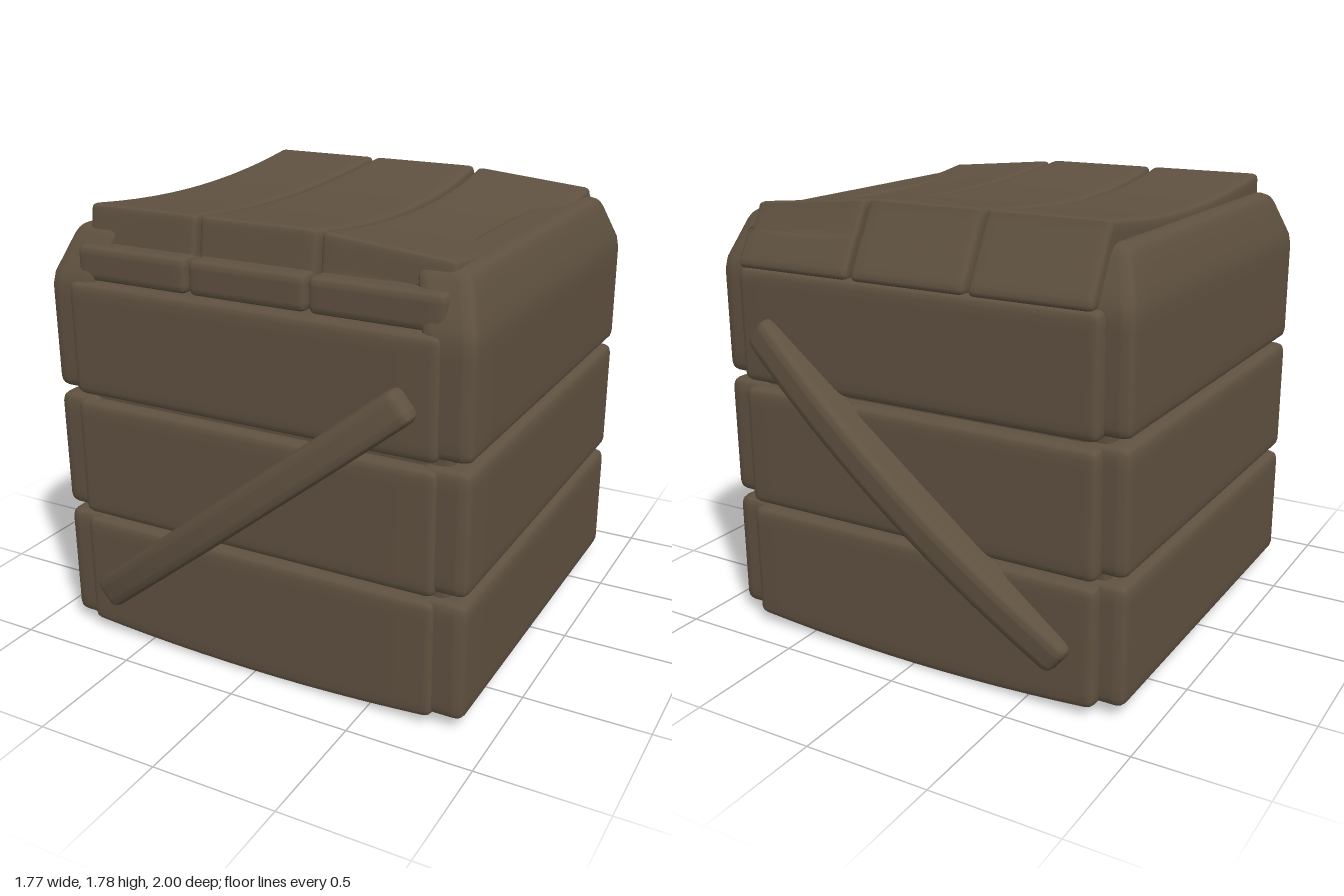
import * as THREE from 'three';
import { mergeVertices } from 'three/addons/utils/BufferGeometryUtils.js';

const wood = new THREE.MeshStandardMaterial({ color: 0x5f5140 });
wood.name = 'weathered brown wood';

const SEG = 16;

// Worn plank: a box between the given ranges with edges rounded by r, then bent by an optional rule.
function plank(name, xr, yr, zr, r, warp) {
  const geo = new THREE.BoxGeometry(SEG, SEG, SEG, SEG, SEG, SEG);
  geo.deleteAttribute('uv');
  geo.deleteAttribute('normal');
  const ranges = [xr, yr, zr];
  const insets = [0, 0.35 * r, r];
  const place = (raw, [a, b]) => {
    const i = Math.round(raw + SEG / 2);
    const j = SEG - i;
    if (i < 3) return a + insets[i];
    if (j < 3) return b - insets[j];
    return a + r + ((b - a - 2 * r) * (i - 2)) / (SEG - 4);
  };
  const pos = geo.attributes.position;
  const p = new THREE.Vector3();
  const inner = new THREE.Vector3();
  for (let v = 0; v < pos.count; v++) {
    p.fromBufferAttribute(pos, v);
    const q = p.toArray().map((c, k) => place(c, ranges[k]));
    p.fromArray(q);
    inner.fromArray(q.map((c, k) => THREE.MathUtils.clamp(c, ranges[k][0] + r, ranges[k][1] - r)));
    p.sub(inner).setLength(r).add(inner);
    if (warp) warp(p);
    pos.setXYZ(v, p.x, p.y, p.z);
  }
  const smooth = mergeVertices(geo, 1e-5);
  smooth.computeVertexNormals();
  const mesh = new THREE.Mesh(smooth, wood);
  mesh.name = name;
  return mesh;
}

export function createModel() {
  const crate = new THREE.Group();
  crate.name = 'woodenCrate';

  // Dark inner body behind the plank gaps
  crate.add(plank('innerBody', [-0.8, 0.8], [0.03, 1.5], [-0.79, 0.79], 0.03));
  crate.add(plank('innerTop', [-0.74, 0.74], [1.4, 1.68], [-0.72, 0.68], 0.03));

  // Front and back planks; the lowest ones rise a little towards the corners
  const rows = [[0, 0.51], [0.53, 1.02], [1.045, 1.5]];
  const raiseCorners = (p) => {
    if (p.y < 0.25) p.y += 0.035 * (p.x / 0.77) ** 2 * (1 - p.y / 0.25);
  };
  rows.forEach((row, i) => {
    const warp = i === 0 ? raiseCorners : null;
    crate.add(plank('frontPlank', [-0.785, 0.765], row, [0.6, 0.845], 0.035, warp));
    crate.add(plank('backPlank', [-0.785, 0.765], row, [-0.87, -0.6], 0.035, warp));
  });

  // Bottom board
  crate.add(plank('bottomBoard', [-0.77, 0.76], [0.005, 0.2], [-0.82, 0.81], 0.03, raiseCorners));

  // Side planks; the top one narrows above its shoulder
  const shoulder = (p) => {
    const t = Math.max(0, (p.y - 1.5) / 0.2);
    p.x -= Math.sign(p.x) * 0.07 * t;
    p.z *= 1 - 0.13 * t;
  };
  const sideRows = [[0.04, 0.52], [0.545, 1.03], [1.055, 1.7]];
  for (const s of [-1, 1]) {
    const xr = s > 0 ? [0.68, 0.885] : [-0.885, -0.68];
    sideRows.forEach((row, i) => {
      crate.add(plank('sidePlank', xr, row, [-0.82, 0.825], 0.04, i === 2 ? shoulder : null));
    });
  }

  // Lid planks: sagging in the middle, sloping down at the back and towards the model's left
  const lid = (p) => {
    const f = 1 - (p.z / 0.74) ** 2;
    const low = THREE.MathUtils.clamp((1.76 - p.y) / 0.24, 0, 1);
    if (p.y > 1.65) {
      p.y -= 0.055 * f + 0.05 * Math.max(0, (p.x - 0.2) / 0.55);
    }
    p.x -= 0.03 * f * Math.max(0, 1 - Math.abs(p.x + 0.26) / 0.25);
    p.x += 0.03 * f * Math.max(0, 1 - Math.abs(p.x - 0.25) / 0.25);
    p.z += p.z < 0 ? 0.13 * low * (p.z / 0.73) : 0.03 * low * (p.z / 0.7);
  };
  const lidSpans = [[-0.755, -0.267], [-0.253, 0.233], [0.247, 0.765]];
  for (const span of lidSpans) {
    crate.add(plank('lidPlank', span, [1.49, 1.785], [-0.73, 0.71], 0.025, lid));
    crate.add(plank('lidFrontBlock', span, [1.5, 1.635], [0.55, 0.805], 0.025));
  }

  // Diagonal braces, bowed outwards, on the front and back
  const angle = Math.atan2(1.06, 1.32);
  for (const s of [1, -1]) {
    const bow = (p) => {
      if (p.z * s > 0.88) p.z += s * 0.08 * (1 - (p.x / 0.85) ** 2);
    };
    const zr = s > 0 ? [0.82, 0.92] : [-0.92, -0.82];
    const brace = plank(s > 0 ? 'frontBrace' : 'backBrace', [-0.85, 0.85], [-0.068, 0.068], zr, 0.035, bow);
    brace.rotation.z = angle;
    brace.position.y = 0.74;
    crate.add(brace);
  }

  return crate;
}
